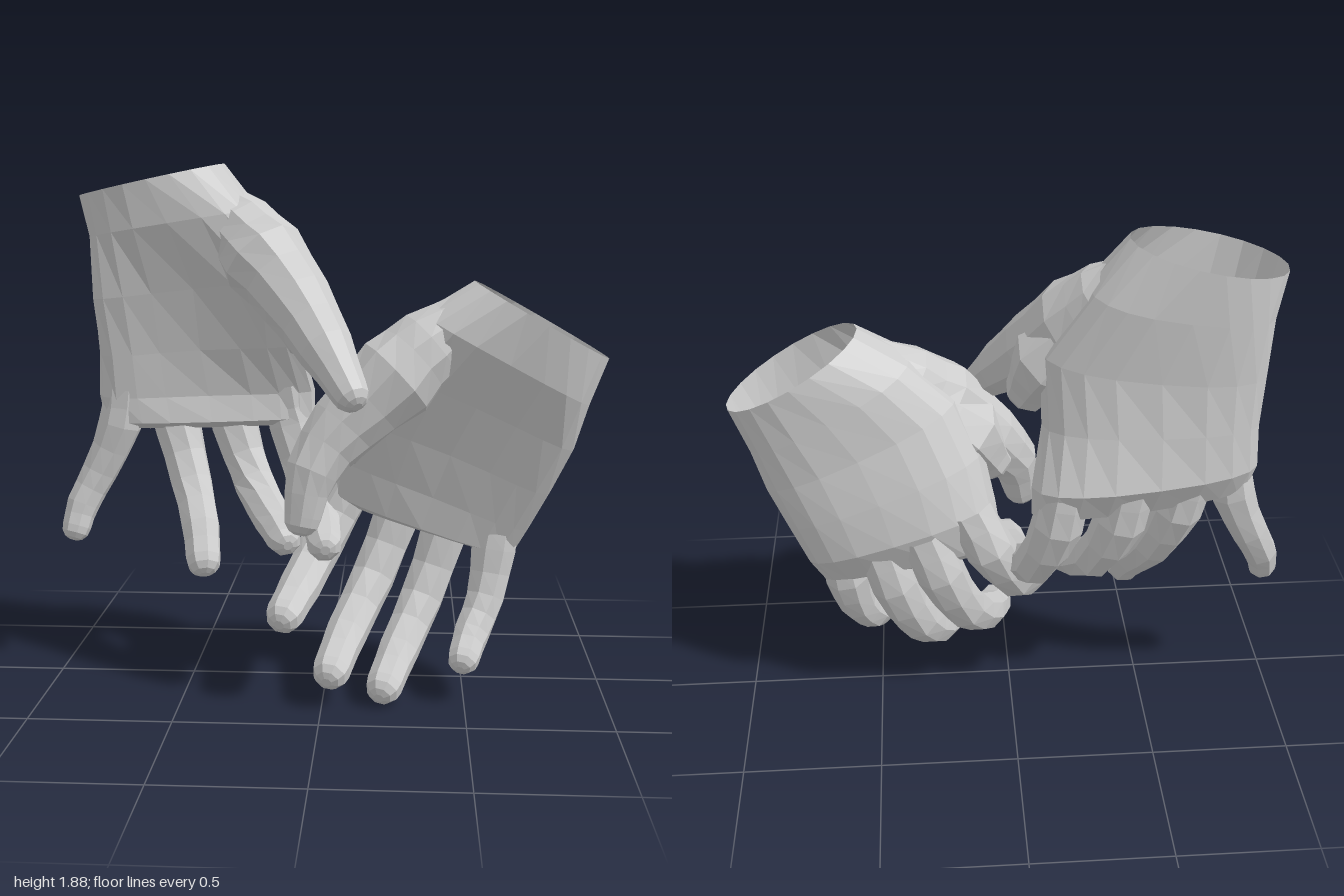
import * as THREE from 'three';

const skin = new THREE.MeshStandardMaterial({ color: 0xcccccc, flatShading: true, side: THREE.DoubleSide });
const vec = (p) => new THREE.Vector3(p[0], p[1], p[2]);

// Skin a list of rings; the last ring is closed, the first stays open.
function loft(name, rings) {
  const sides = rings[0].length, pos = [], index = [];
  rings.forEach((ring) => ring.forEach((p) => pos.push(p.x, p.y, p.z)));
  for (let i = 0; i < rings.length - 1; i++) {
    for (let j = 0; j < sides; j++) {
      const k = (j + 1) % sides;
      const a = i * sides + j, b = i * sides + k, c = a + sides, d = b + sides;
      index.push(a, b, c, b, d, c);
    }
  }
  const last = rings[rings.length - 1];
  const mid = last.reduce((s, p) => s.add(p), new THREE.Vector3()).divideScalar(sides);
  pos.push(mid.x, mid.y, mid.z);
  const base = (rings.length - 1) * sides;
  for (let j = 0; j < sides; j++) index.push(base + j, base + ((j + 1) % sides), rings.length * sides);
  const indexed = new THREE.BufferGeometry();
  indexed.setAttribute('position', new THREE.Float32BufferAttribute(pos, 3));
  indexed.setIndex(index);
  const geo = indexed.toNonIndexed();
  geo.computeVertexNormals();
  const mesh = new THREE.Mesh(geo, skin);
  mesh.name = name;
  return mesh;
}

// Digit along [x, y, z, radius] points, with a rounded end.
function digit(name, path, sides) {
  const curve = new THREE.CatmullRomCurve3(path.map(vec), false, 'centripetal');
  const rings = [], steps = (path.length - 1) * 2;
  const addRing = (c, t, r) => {
    const w = new THREE.Vector3(1, 0, 0).addScaledVector(t, -t.x).normalize();
    const n = new THREE.Vector3().crossVectors(t, w);
    rings.push(Array.from({ length: sides }, (_, j) => {
      const a = ((j + 0.5) / sides) * Math.PI * 2;
      return c.clone().addScaledVector(w, r * Math.cos(a)).addScaledVector(n, r * Math.sin(a));
    }));
  };
  for (let i = 0; i <= steps; i++) {
    const k = Math.floor(i / 2), odd = i % 2;
    // slightly slimmer between the joints
    const r = odd ? (path[k][3] + path[k + 1][3]) * 0.485 : path[k][3];
    addRing(curve.getPoint(i / steps), curve.getTangent(i / steps), r);
  }
  const end = curve.getPoint(1), t = curve.getTangent(1), r = path[path.length - 1][3];
  for (const [along, scale] of [[0.5, 0.9], [0.85, 0.62], [1, 0.28]]) {
    addRing(end.clone().addScaledVector(t, r * along), t, r * scale);
  }
  return loft(name, rings);
}

// Palm sections from the wrist down:
// [left edge, right edge, front depth left, front depth right, hollow, back depth].
function palm(sections, sides = 20) {
  const mids = sections.map(([l, r]) => vec(l).add(vec(r)).multiplyScalar(0.5));
  const rings = sections.map(([l, r, frontL, frontR, hollow, back], i) => {
    const axis = mids[Math.min(i + 1, mids.length - 1)].clone().sub(mids[Math.max(i - 1, 0)]);
    const w = vec(r).sub(vec(l)).multiplyScalar(0.5);
    const n = new THREE.Vector3().crossVectors(axis, w).normalize();
    const square = i === 0 ? 1 : 0.8;
    return Array.from({ length: sides }, (_, j) => {
      const a = (j / sides) * Math.PI * 2;
      const c = Math.sign(Math.cos(a)) * Math.abs(Math.cos(a)) ** square;
      const s = Math.sign(Math.sin(a)) * Math.abs(Math.sin(a)) ** square;
      // the front dips between the two pads at the edges
      const front = THREE.MathUtils.lerp(frontL, frontR, (c + 1) / 2) * (1 - hollow * (1 - c * c));
      return mids[i].clone().addScaledVector(w, c).addScaledVector(n, s * (s > 0 ? front : back));
    });
  });
  return loft('palm', rings);
}

function hand(name, spec) {
  const group = new THREE.Group();
  group.name = name;
  group.add(palm(spec.palm));
  for (const [part, path] of Object.entries(spec.digits)) group.add(digit(part, path, part === 'thumb' ? 10 : 8));
  return group;
}

// Upper hand
const upper = {
  palm: [
    [[-0.91, 1.77, -0.11], [-0.38, 1.885, -0.14], 0.19, 0.19, 0, 0.2],
    [[-0.875, 1.62, -0.13], [-0.25, 1.72, -0.13], 0.2, 0.2, 0.1, 0.2],
    [[-0.87, 1.4, -0.13], [-0.1, 1.48, -0.1], 0.2, 0.17, 0.6, 0.21],
    [[-0.855, 1.2, -0.13], [-0.1, 1.23, -0.17], 0.16, 0.08, 0.65, 0.2],
    [[-0.86, 1.04, -0.13], [-0.06, 1.04, -0.27], 0.12, 0.06, 0.4, 0.18],
    [[-0.84, 0.94, -0.13], [-0.06, 0.94, -0.28], 0.09, 0.07, 0.1, 0.11],
    [[-0.8, 0.915, -0.14], [-0.1, 0.915, -0.29], 0.03, 0.03, 0, 0.06],
  ],
  digits: {
    thumb: [[-0.42, 1.77, -0.14, 0.08], [-0.33, 1.66, -0.1, 0.135], [-0.23, 1.55, -0.04, 0.16],
      [-0.1, 1.4, 0.08, 0.13], [0.01, 1.25, 0.22, 0.1], [0.095, 1.12, 0.34, 0.066]],
    thumbWeb: [[-0.28, 1.58, -0.12, 0.08], [-0.14, 1.42, -0.06, 0.14], [-0.08, 1.29, 0, 0.09]],
    indexFinger: [[-0.18, 1.06, -0.28, 0.09], [-0.15, 0.9, -0.29, 0.092], [-0.08, 0.67, -0.2, 0.08],
      [-0.02, 0.58, 0, 0.072], [0, 0.55, 0.16, 0.064]],
    middleFinger: [[-0.4, 1.06, -0.28, 0.09], [-0.37, 0.9, -0.28, 0.092], [-0.29, 0.69, -0.2, 0.08],
      [-0.2, 0.59, -0.02, 0.072], [-0.15, 0.555, 0.11, 0.064]],
    ringFinger: [[-0.62, 1.06, -0.22, 0.09], [-0.58, 0.9, -0.22, 0.09], [-0.52, 0.7, -0.14, 0.08],
      [-0.47, 0.56, -0.02, 0.073], [-0.45, 0.46, 0.06, 0.066]],
    littleFinger: [[-0.77, 1.06, -0.15, 0.08], [-0.79, 0.92, -0.15, 0.083], [-0.87, 0.74, -0.14, 0.068],
      [-0.93, 0.62, -0.11, 0.062], [-0.95, 0.54, -0.08, 0.054]],
  },
};

// Lower hand
const lower = {
  palm: [
    [[0.52, 1.48, 0.1], [0.995, 1.21, 0.08], 0.19, 0.19, 0, 0.19],
    [[0.34, 1.37, 0.1], [0.93, 1.05, 0.08], 0.2, 0.2, 0.1, 0.2],
    [[0.18, 1.21, 0.1], [0.885, 0.89, 0.07], 0.18, 0.18, 0.55, 0.21],
    [[0.09, 1.01, 0.05], [0.81, 0.73, 0.05], 0.1, 0.15, 0.6, 0.22],
    [[0.05, 0.83, -0.02], [0.74, 0.59, 0.02], 0.07, 0.13, 0.4, 0.2],
    [[0.03, 0.69, -0.07], [0.69, 0.5, 0.01], 0.07, 0.1, 0.1, 0.12],
    [[0.06, 0.65, -0.09], [0.66, 0.48, 0], 0.03, 0.03, 0, 0.07],
  ],
  digits: {
    thumb: [[0.52, 1.38, 0.1, 0.08], [0.37, 1.26, 0.13, 0.135], [0.25, 1.15, 0.17, 0.16], [0.07, 0.98, 0.21, 0.125],
      [-0.035, 0.83, 0.27, 0.095], [-0.065, 0.68, 0.3, 0.066]],
    thumbWeb: [[0.31, 1.2, 0.08, 0.08], [0.15, 1.05, 0.11, 0.14], [0.07, 0.92, 0.15, 0.09]],
    indexFinger: [[0.15, 0.85, -0.1, 0.09], [0.08, 0.7, -0.13, 0.092], [-0.02, 0.5, -0.04, 0.083],
      [-0.09, 0.38, 0.14, 0.076], [-0.13, 0.325, 0.28, 0.068]],
    middleFinger: [[0.32, 0.77, -0.12, 0.09], [0.26, 0.6, -0.13, 0.092], [0.17, 0.37, -0.05, 0.083],
      [0.08, 0.21, 0.13, 0.076], [0.035, 0.13, 0.3, 0.068]],
    ringFinger: [[0.48, 0.71, -0.08, 0.09], [0.43, 0.53, -0.09, 0.09], [0.35, 0.3, -0.02, 0.082],
      [0.27, 0.15, 0.13, 0.074], [0.22, 0.07, 0.28, 0.066]],
    littleFinger: [[0.63, 0.65, 0, 0.08], [0.61, 0.5, 0.01, 0.085], [0.58, 0.33, 0.06, 0.072],
      [0.53, 0.22, 0.14, 0.066], [0.5, 0.16, 0.23, 0.058]],
  },
};

export function createModel() {
  const model = new THREE.Group();
  model.name = 'pairOfHands';
  model.add(hand('upperHand', upper), hand('lowerHand', lower));
  return model;
}
